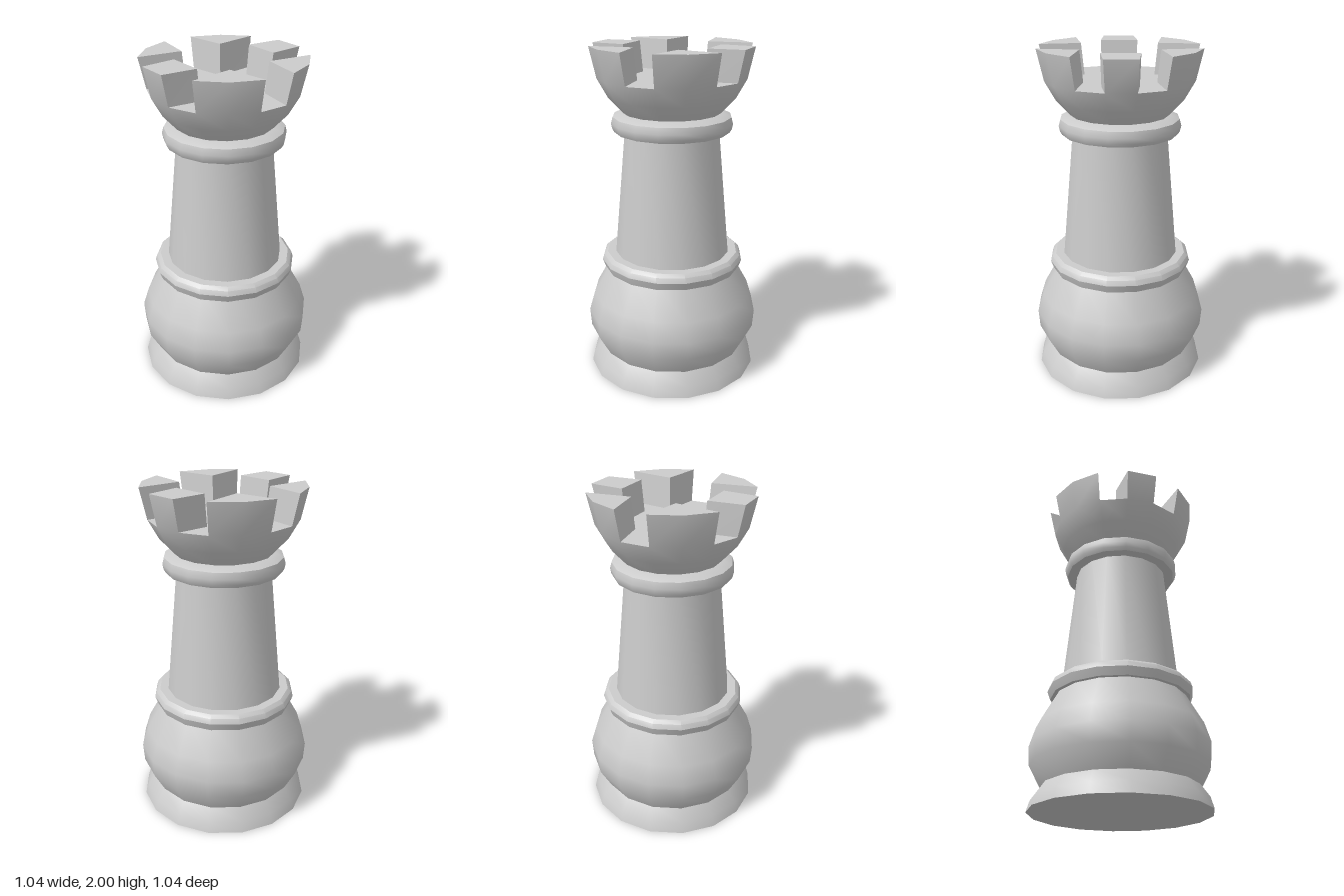
import * as THREE from 'three';
import { mergeGeometries, toCreasedNormals } from 'three/addons/utils/BufferGeometryUtils.js';

const SIDES = 16;
const STEP = (Math.PI * 2) / SIDES;
const CREASE = 0.62;
const FLAT = Math.cos(STEP / 2); // flat-to-corner ratio of the 16-sided section
const FLOOR = 1.82, TOP = 2;
const R_FLOOR = 0.425 / FLAT, R_TOP = 0.464 / FLAT;

const material = new THREE.MeshStandardMaterial({ color: 0xcccccc });

// Turned shape; profile is [half width across flats, height], bottom to top
function turned(profile) {
  const points = profile.map(([r, y]) => new THREE.Vector2(r / FLAT, y));
  const geo = new THREE.LatheGeometry(points, SIDES, STEP / 2).toNonIndexed();
  geo.deleteAttribute('uv');
  geo.deleteAttribute('normal');
  return geo;
}

// Tapered block between two matching loops of [x, z], counterclockwise from above
function block(bottom, top) {
  const b = bottom.map(([x, z]) => [x, FLOOR, z]);
  const t = top.map(([x, z]) => [x, TOP, z]);
  const pos = [];
  b.forEach((p, i) => {
    const j = (i + 1) % b.length;
    pos.push(...p, ...b[j], ...t[j], ...p, ...t[j], ...t[i]);
    if (i > 0 && i < b.length - 1) pos.push(...t[0], ...t[i], ...t[i + 1]);
  });
  const geo = new THREE.BufferGeometry();
  geo.setAttribute('position', new THREE.Float32BufferAttribute(pos, 3));
  return geo;
}

// Points on the crown rim, starting at corner number `first`
function rim(radius, first, count) {
  return Array.from({ length: count }, (_, i) => {
    const a = (first + i + 0.5) * STEP;
    return [radius * Math.sin(a), radius * Math.cos(a)];
  });
}

export function createModel() {
  const group = new THREE.Group();
  const add = (name, geo) => {
    const mesh = new THREE.Mesh(toCreasedNormals(geo, CREASE), material);
    mesh.name = name;
    group.add(mesh);
  };

  add('base', turned([[0, 0], [0.514, 0], [0.495, 0.065], [0.445, 0.137], [0, 0.137]]));
  add('bulb', turned([[0.445, 0.137], [0.51, 0.26], [0.518, 0.37], [0.483, 0.485], [0.385, 0.665]]));
  add('lowerCollar', turned([
    [0.33, 0.662], [0.41, 0.662], [0.418, 0.682], [0.427, 0.71], [0.417, 0.74], [0.395, 0.758], [0.33, 0.758],
  ]));
  add('shaft', turned([[0.345, 0.75], [0.275, 1.52]]));
  add('upperCollar', turned([
    [0.25, 1.508], [0.335, 1.508], [0.346, 1.527], [0.353, 1.56], [0.343, 1.597], [0.295, 1.62], [0.25, 1.62],
  ]));

  // Crown bowl with two narrow merlons and four corner wedges
  const crown = [turned([[0.28, 1.615], [0.365, 1.71], [0.425, FLOOR], [0, FLOOR]])];
  for (const s of [1, -1]) {
    const first = s > 0 ? -1 : 7;
    crown.push(block(
      [...rim(R_FLOOR, first, 2), [0.104 * s, 0.236 * s], [-0.104 * s, 0.236 * s]],
      [...rim(R_TOP, first, 2), [0.109 * s, 0.257 * s], [-0.109 * s, 0.257 * s]],
    ));
  }
  for (const [first, sx, sz] of [[1, 1, 1], [4, 1, -1], [9, -1, -1], [12, -1, 1]]) {
    crown.push(block(
      [...rim(R_FLOOR, first, 3), [0.205 * sx, 0.122 * sz]],
      [...rim(R_TOP, first, 3), [0.223 * sx, 0.132 * sz]],
    ));
  }
  add('crown', mergeGeometries(crown));

  return group;
}
